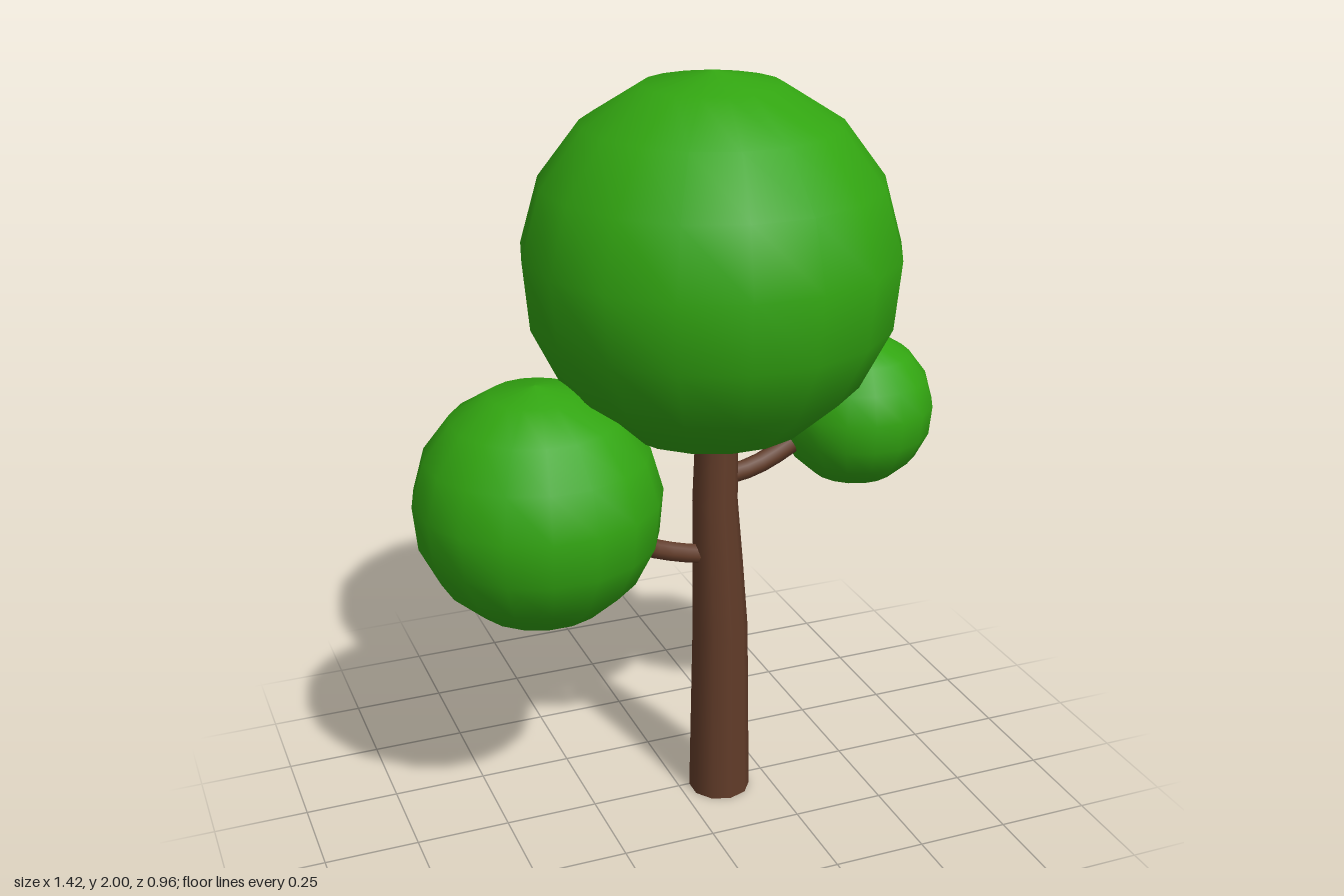
import * as THREE from 'three';

const SIDES = 17;

// Rounded crown: an odd-sided profile turned round the vertical axis
function makeCrown(name, radius, x, y, z, material) {
  const profile = [new THREE.Vector2(0, -radius)];
  for (let k = 8; k >= 0; k--) {
    const a = (k * 2 * Math.PI) / SIDES;
    profile.push(new THREE.Vector2(radius * Math.sin(a), radius * Math.cos(a)));
  }
  const crown = new THREE.Mesh(new THREE.LatheGeometry(profile, SIDES, Math.PI), material);
  crown.name = name;
  crown.position.set(x, y, z);
  return crown;
}

// Tapered trunk: each ring of a cylinder is moved to its own centre and radius
function makeTrunk(material) {
  // height, centre x, centre z, radius
  const rings = [
    [0, 0.111, 0.026, 0.084],
    [0.5, 0.109, 0.027, 0.075],
    [0.7, 0.1, 0.028, 0.067],
    [0.88, 0.09, 0.029, 0.06],
    [1.15, 0.094, 0.03, 0.054],
  ];
  const last = rings.length - 1;
  const geometry = new THREE.CylinderGeometry(1, 1, 1, 10, last);
  const p = geometry.attributes.position;
  for (let i = 0; i < p.count; i++) {
    const [y, cx, cz, r] = rings[Math.round((p.getY(i) + 0.5) * last)];
    p.setXYZ(i, cx + p.getX(i) * r, y, cz + p.getZ(i) * r);
  }
  const trunk = new THREE.Mesh(geometry, material);
  trunk.name = 'trunk';
  return trunk;
}

// Curved branch, its ends buried in the trunk and a crown
function makeBranch(name, points, material) {
  const curve = new THREE.CatmullRomCurve3(points.map((q) => new THREE.Vector3(...q)));
  const branch = new THREE.Mesh(new THREE.TubeGeometry(curve, 8, 0.027, 8), material);
  branch.name = name;
  return branch;
}

export function createModel() {
  const leaves = new THREE.MeshStandardMaterial({ color: 0x32a511 });
  leaves.name = 'leaf green';
  const bark = new THREE.MeshStandardMaterial({ color: 0x623c29 });
  bark.name = 'bark brown';

  const tree = new THREE.Group();
  tree.name = 'tree';
  tree.add(
    makeTrunk(bark),
    makeBranch('rightBranch', [[0.09, 0.72, 0.028], [0, 0.74, 0.028], [-0.1, 0.775, 0.027], [-0.22, 0.86, 0.026]], bark),
    makeBranch('leftBranch', [[0.09, 0.94, 0.028], [0.2, 0.955, 0.022], [0.3, 0.995, 0.015], [0.42, 1.07, 0.01]], bark),
    makeCrown('topCrown', 0.485, 0.086, 1.515, 0, leaves),
    makeCrown('rightCrown', 0.32, -0.394, 0.945, 0.027, leaves),
    makeCrown('leftCrown', 0.209, 0.5, 1.078, 0.01, leaves),
  );
  return tree;
}
